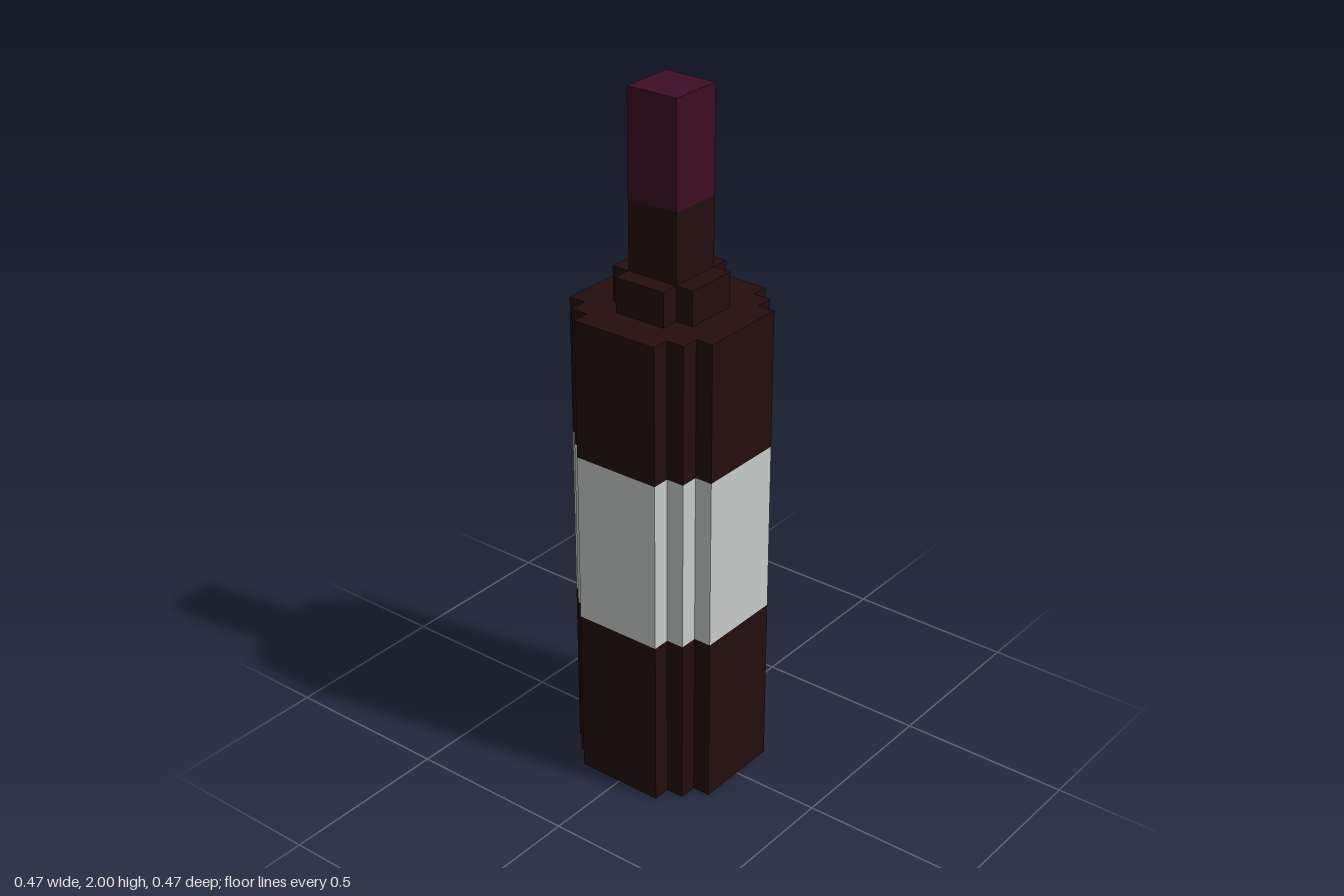
import * as THREE from 'three';

// Half-widths of the stepped outlines
const A = 0.079, B = 0.132, C = 0.185, D = 0.237;

// Mirrors one quadrant of [x, z] corners into a closed stepped outline
function outline(quadrant) {
  const back = [...quadrant].reverse();
  const points = [
    ...quadrant,
    ...back.map(([x, y]) => [-x, y]),
    ...quadrant.map(([x, y]) => [-x, -y]),
    ...back.map(([x, y]) => [x, -y]),
  ];
  return new THREE.Shape(points.map(([x, y]) => new THREE.Vector2(x, y)));
}

export function createModel() {
  const model = new THREE.Group();
  const glass = new THREE.MeshStandardMaterial({ name: 'dark glass', color: 0x240e0e });
  const paper = new THREE.MeshStandardMaterial({ name: 'pale label', color: 0xc6cbc8 });
  const foil = new THREE.MeshStandardMaterial({ name: 'wine foil', color: 0x3c0d23 });

  const round = outline([[D, 0.0], [D, B], [C, B], [C, C], [B, C], [B, D]].slice(1));
  const cross = outline([[B, A], [A, A], [A, B]]);
  const square = outline([[A, A]]);

  // Upright prism between two heights
  function prism(name, shape, bottom, top, material) {
    const geometry = new THREE.ExtrudeGeometry(shape, { depth: top - bottom, bevelEnabled: false });
    geometry.rotateX(-Math.PI / 2);
    const mesh = new THREE.Mesh(geometry, material);
    mesh.name = name;
    mesh.position.y = bottom;
    model.add(mesh);
  }

  // Body with the label band between two glass sections
  prism('lowerBody', round, 0, 0.5, glass);
  prism('label', round, 0.5, 1.0, paper);
  prism('upperBody', round, 1.0, 1.4, glass);

  // Shoulder, neck and foil cap
  prism('shoulder', cross, 1.4, 1.5, glass);
  prism('neck', square, 1.5, 1.7, glass);
  prism('foilCap', square, 1.7, 2.0, foil);

  return model;
}
